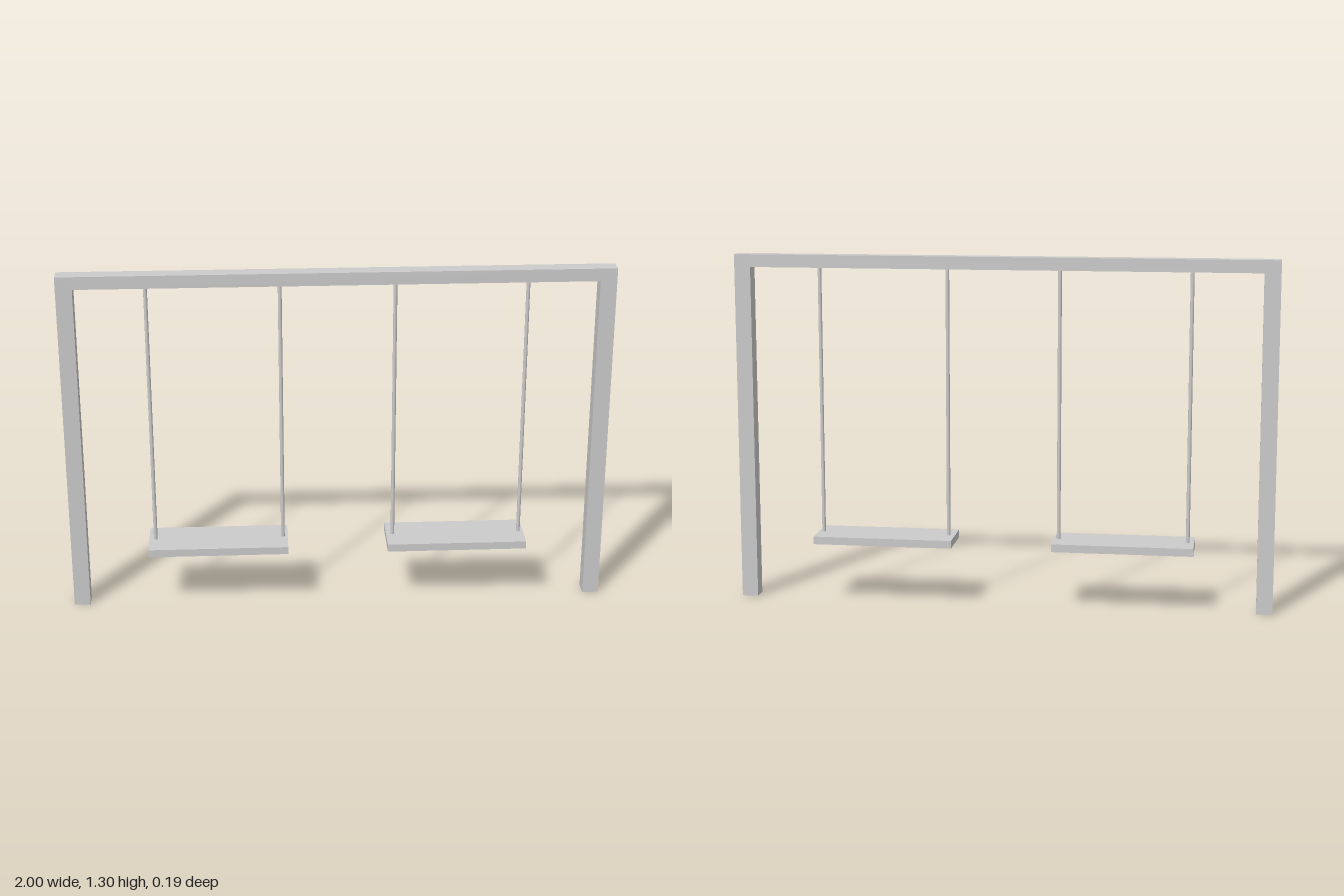
import * as THREE from 'three';

const HEIGHT = 1.3;
const BEAM_BOTTOM = 1.253;
const SEAT_BOTTOM = 0.226;
const SEAT_TOP = 0.255;

export function createModel() {
  const group = new THREE.Group();
  group.name = 'swingSet';
  const material = new THREE.MeshStandardMaterial({ color: 0xcccccc });

  const add = (parent, name, geometry, x = 0, y = 0, z = 0) => {
    const mesh = new THREE.Mesh(geometry, material);
    mesh.name = name;
    mesh.position.set(x, y, z);
    parent.add(mesh);
  };

  // Frame: two square posts and a top beam in one continuous outline
  const outline = new THREE.Shape([
    [-1, 0], [-0.94, 0], [-0.94, BEAM_BOTTOM], [0.94, BEAM_BOTTOM],
    [0.94, 0], [1, 0], [1, HEIGHT], [-1, HEIGHT],
  ].map(([x, y]) => new THREE.Vector2(x, y)));
  const frame = new THREE.ExtrudeGeometry(outline, { depth: 0.06, bevelEnabled: false });
  add(group, 'frame', frame, 0, 0, -0.03);

  // Swings: a plank seat hung on two thin rods
  const seat = new THREE.BoxGeometry(0.52, SEAT_TOP - SEAT_BOTTOM, 0.19);
  const rodLength = BEAM_BOTTOM - SEAT_TOP + 0.02;
  const rod = new THREE.CylinderGeometry(0.007, 0.007, rodLength, 12);
  for (const side of [-1, 1]) {
    const swing = new THREE.Group();
    swing.name = side > 0 ? 'leftSwing' : 'rightSwing';
    swing.position.x = side * 0.446;
    group.add(swing);
    add(swing, 'seat', seat, -0.003, (SEAT_TOP + SEAT_BOTTOM) / 2);
    for (const end of [-1, 1]) {
      add(swing, end > 0 ? 'leftRod' : 'rightRod', rod, end * 0.239, (BEAM_BOTTOM + SEAT_TOP) / 2);
    }
  }
  return group;
}
